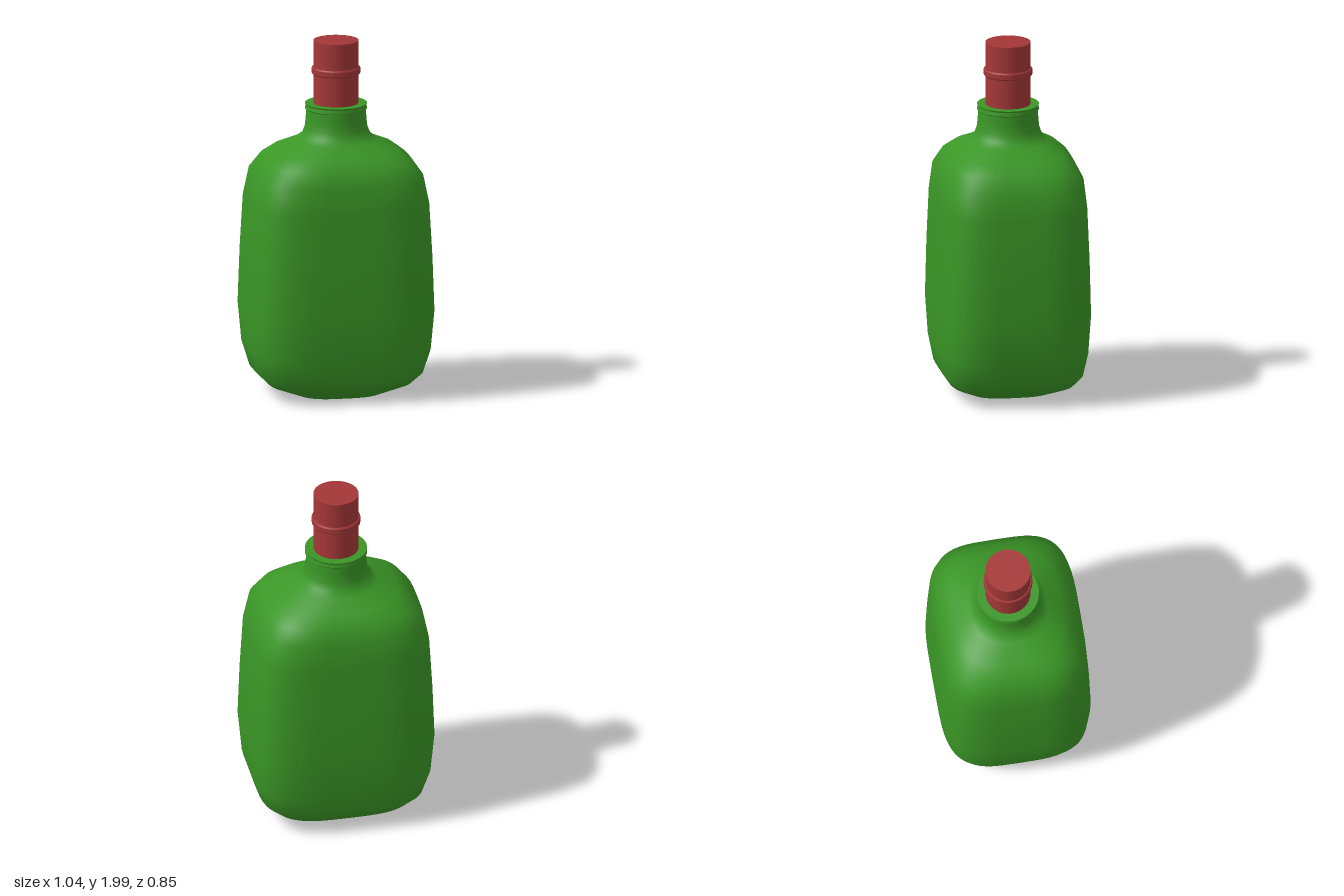
import * as THREE from 'three';

const green = new THREE.MeshStandardMaterial({ color: 0x3a9626 });
green.name = 'bottle green';
const red = new THREE.MeshStandardMaterial({ color: 0xa43737 });
red.name = 'stopper red';

// Smooth skin through superellipse rings: [y, half width x, half depth z, squareness]
function loft(rings, segments) {
  const positions = [], indices = [];
  const pow = (v, e) => Math.sign(v) * Math.pow(Math.abs(v), e);
  rings.forEach(([y, hx, hz, n], r) => {
    for (let i = 0; i < segments; i++) {
      const a = (i / segments) * Math.PI * 2;
      positions.push(hx * pow(Math.cos(a), 2 / n), y, hz * pow(Math.sin(a), 2 / n));
      if (r === 0) continue;
      const j = (i + 1) % segments, lo = (r - 1) * segments, hi = r * segments;
      if (r > 1) indices.push(lo + i, hi + j, lo + j);
      indices.push(lo + i, hi + i, hi + j);
    }
  });
  const geometry = new THREE.BufferGeometry();
  geometry.setAttribute('position', new THREE.Float32BufferAttribute(positions, 3));
  geometry.setIndex(indices);
  geometry.computeVertexNormals();
  // The first ring is a single point, so all of it faces straight down
  for (let i = 0; i < segments; i++) geometry.attributes.normal.setXYZ(i, 0, -1, 0);
  return geometry;
}

// Turned part with a hard edge at every profile point
function turned(points, segments = 48) {
  const positions = [], normals = [], indices = [];
  for (let k = 0; k < points.length - 1; k++) {
    const piece = new THREE.LatheGeometry(
      [points[k], points[k + 1]].map(([x, y]) => new THREE.Vector2(x, y)), segments);
    const base = positions.length / 3;
    positions.push(...piece.attributes.position.array);
    normals.push(...piece.attributes.normal.array);
    indices.push(...Array.from(piece.index.array, (i) => i + base));
  }
  const geometry = new THREE.BufferGeometry();
  geometry.setAttribute('position', new THREE.Float32BufferAttribute(positions, 3));
  geometry.setAttribute('normal', new THREE.Float32BufferAttribute(normals, 3));
  geometry.setIndex(indices);
  return geometry;
}

export function createModel() {
  const model = new THREE.Group();
  model.name = 'bottle';
  const add = (name, geometry, material) => {
    const mesh = new THREE.Mesh(geometry, material);
    mesh.name = name;
    model.add(mesh);
  };

  // Rounded square body rising through the shoulders into a round neck
  add('body', loft([
    [0.01, 0, 0, 3],
    [0.015, 0.24, 0.24, 3],
    [0.08, 0.40, 0.35, 3.4],
    [0.14, 0.46, 0.39, 3.7],
    [0.27, 0.5, 0.413, 3.9],
    [0.49, 0.52, 0.427, 3.9],
    [0.8, 0.509, 0.42, 3.9],
    [1.1, 0.492, 0.408, 3.9],
    [1.25, 0.463, 0.393, 3.7],
    [1.335, 0.405, 0.35, 3.4],
    [1.39, 0.335, 0.293, 3],
    [1.44, 0.225, 0.215, 2.4],
    [1.47, 0.19, 0.188, 2.1],
    [1.51, 0.174, 0.174, 2],
    [1.56, 0.168, 0.168, 2],
    [1.615, 0.166, 0.166, 2],
  ], 64), green);

  // Neck rim, with a small step and a flat top
  add('rim', turned([
    [0.165, 1.61], [0.172, 1.616], [0.168, 1.636], [0.172, 1.645], [0.12, 1.645],
  ]), green);

  // Stopper and its raised band
  const stopper = new THREE.CylinderGeometry(0.125, 0.125, 0.4, 48);
  stopper.translate(0, 1.8, 0);
  add('stopper', stopper, red);
  add('stopperBand', turned([
    [0.124, 1.81], [0.13, 1.81], [0.135, 1.817], [0.135, 1.844], [0.13, 1.851], [0.124, 1.851],
  ]), red);

  return model;
}
